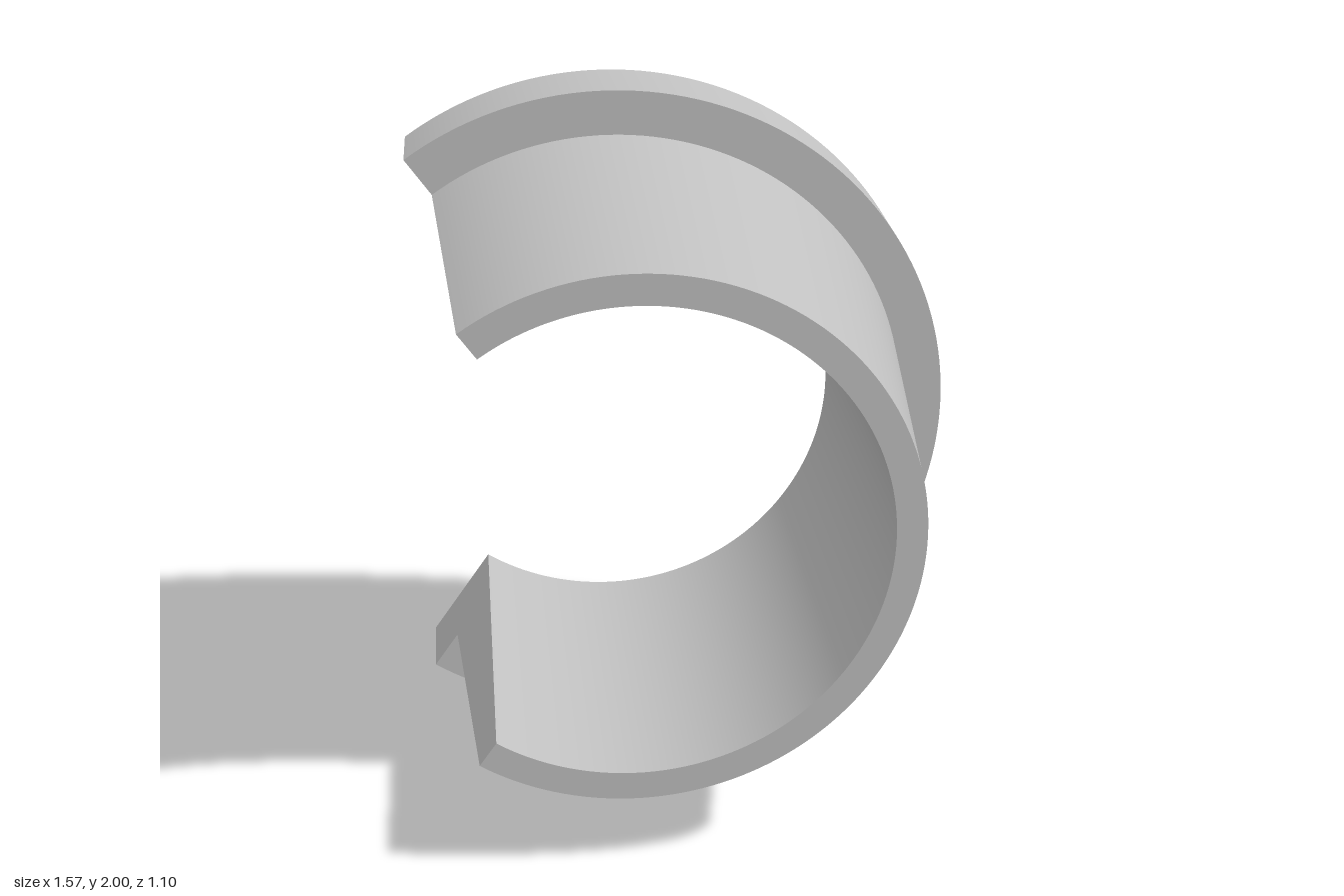
import * as THREE from 'three';
import { toCreasedNormals } from 'three/addons/utils/BufferGeometryUtils.js';

const HALF_ANGLE = THREE.MathUtils.degToRad(125); // sweep either side of +x
const CENTRE_X = -0.214;

// Cross-section as [radius, z], counter-clockwise: flange at the back, tapered sleeve in front
const SECTION = [
  [0.686, -0.55], [1, -0.55], [1, -0.315], [0.873, -0.315], [0.77, 0.55], [0.686, 0.55],
];

export function createModel() {
  const grey = new THREE.MeshStandardMaterial({ color: 0xc0c0c0 });
  grey.name = 'plain grey';

  const group = new THREE.Group();
  group.name = 'splitFlangedBushing';
  const add = (name, geometry) => {
    const mesh = new THREE.Mesh(geometry, grey);
    mesh.name = name;
    mesh.position.set(CENTRE_X, 1, 0);
    group.add(mesh);
  };

  // Flange, tapered sleeve and straight bore, swept about the z axis
  const outline = [...SECTION, SECTION[0]].map(([r, z]) => new THREE.Vector2(r, z));
  const ring = new THREE.LatheGeometry(outline, 120, Math.PI / 2 - HALF_ANGLE, 2 * HALF_ANGLE);
  ring.rotateX(Math.PI / 2);
  add('flangedSleeve', toCreasedNormals(ring, 0.6));

  // Flat faces closing both ends of the opening
  for (const side of [-1, 1]) {
    const shape = new THREE.Shape(SECTION.map(([r, z]) => new THREE.Vector2(r, -side * z)));
    const angle = side * HALF_ANGLE;
    const radial = new THREE.Vector3(Math.cos(angle), Math.sin(angle), 0);
    const along = new THREE.Vector3(0, 0, -side);
    const outward = radial.clone().cross(along);
    const face = new THREE.ShapeGeometry(shape);
    face.applyMatrix4(new THREE.Matrix4().makeBasis(radial, along, outward));
    add(side > 0 ? 'upperEndFace' : 'lowerEndFace', face);
  }
  return group;
}
